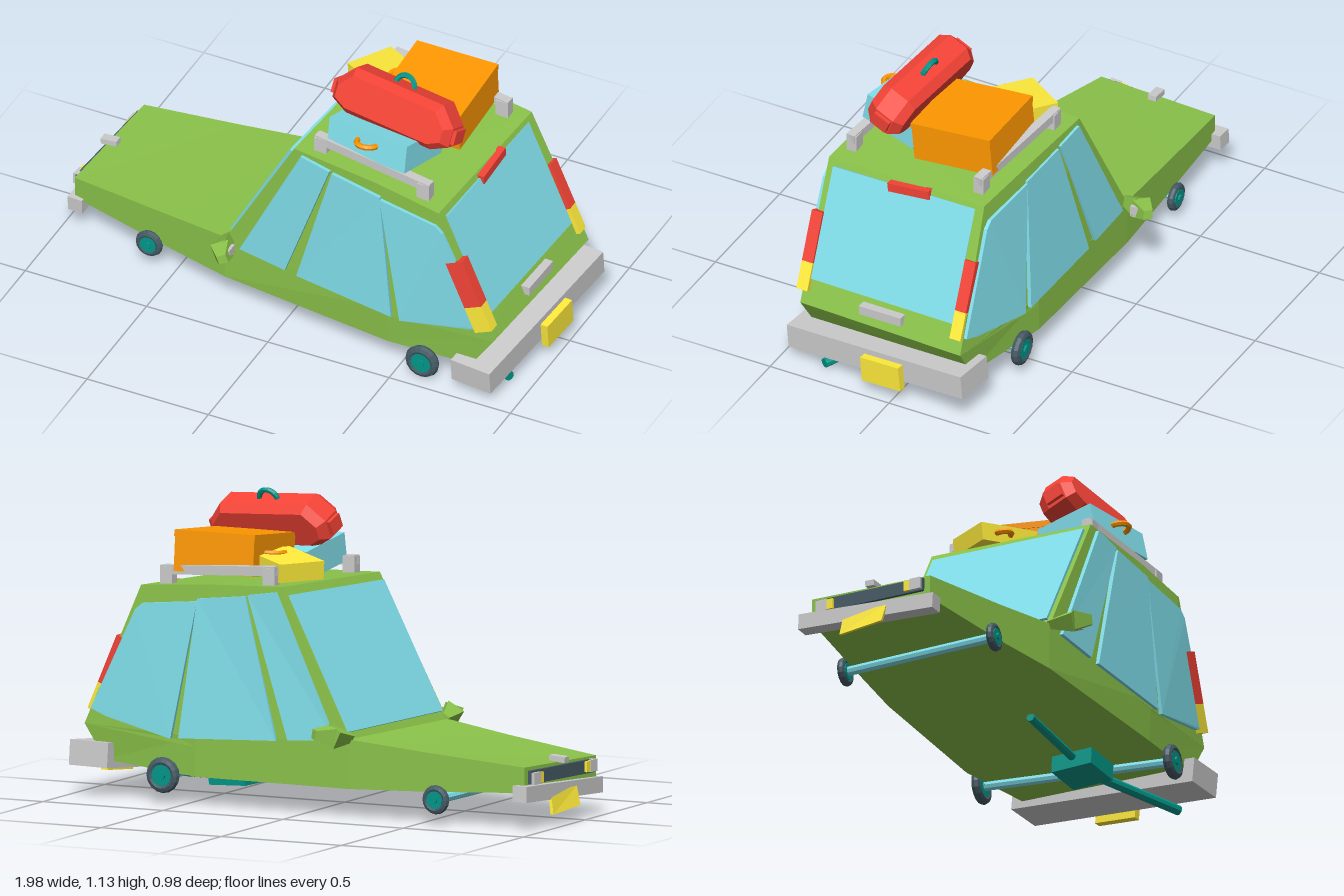
import * as THREE from 'three';

const V = (a) => new THREE.Vector3(...a);
const mat = (color) => new THREE.MeshStandardMaterial({ color, flatShading: true });
const GREEN = mat(0x8bc34a), GLASS = mat(0x80deea), RED = mat(0xf44336), YELLOW = mat(0xffeb3b);
const ORANGE = mat(0xff9800), GREY = mat(0xcccccc), TEAL = mat(0x009688), DARK = mat(0x455a64);

export function createModel() {
  const car = new THREE.Group();
  car.name = 'car';

  const add = (name, geo, material, pos = [0, 0, 0], rot = [0, 0, 0], parent = car) => {
    const m = new THREE.Mesh(geo, material);
    m.name = name;
    m.position.set(...pos);
    m.rotation.set(...rot);
    parent.add(m);
    return m;
  };

  // Closed solid skinned over equal-sized rings; the winding is fixed by signed volume
  function loft(rings) {
    const n = rings[0].length, last = rings.length - 1;
    const tris = [];
    for (let r = 0; r < last; r++) for (let i = 0; i < n; i++) {
      const j = (i + 1) % n, a = rings[r][i], b = rings[r][j], c = rings[r + 1][j], d = rings[r + 1][i];
      tris.push([a, b, c], [a, c, d]);
    }
    for (let i = 1; i < n - 1; i++) {
      tris.push([rings[0][0], rings[0][i + 1], rings[0][i]]);
      tris.push([rings[last][0], rings[last][i], rings[last][i + 1]]);
    }
    let vol = 0;
    for (const [a, b, c] of tris) vol += V(a).dot(V(b).cross(V(c)));
    if (vol < 0) tris.forEach((t) => t.reverse());
    const g = new THREE.BufferGeometry();
    g.setAttribute('position', new THREE.Float32BufferAttribute(tris.flat(2), 3));
    g.computeVertexNormals();
    return g;
  }

  // Polygon thickened both ways along a direction
  const slab = (pts, dir) => loft([-1, 1].map((s) => pts.map((p) => p.map((c, k) => c + s * dir[k]))));

  // Box beam and round rod between two points
  const bar = (name, a, b, w, h, material) => {
    const m = add(name, new THREE.BoxGeometry(w, h, V(a).distanceTo(V(b))), material);
    m.position.copy(V(a).add(V(b)).multiplyScalar(0.5));
    m.lookAt(V(b));
    return m;
  };
  const rod = (name, a, b, r, material, r2 = r, sides = 8) => {
    const m = add(name, new THREE.CylinderGeometry(r2, r, V(a).distanceTo(V(b)), sides), material);
    m.position.copy(V(a).add(V(b)).multiplyScalar(0.5));
    m.quaternion.setFromUnitVectors(new THREE.Vector3(0, 1, 0), V(b).sub(V(a)).normalize());
    return m;
  };

  // Lower body: each section is near top, far top, far bottom, near bottom
  add('lowerBody', loft([
    [[-0.96, 0.22, 0.165], [-0.92, 0.235, -0.335], [-0.92, 0.14, -0.335], [-0.96, 0.13, 0.165]],
    [[-0.55, 0.257, 0.26], [-0.53, 0.265, -0.345], [-0.53, 0.12, -0.345], [-0.55, 0.11, 0.26]],
    [[-0.26, 0.288, 0.33], [-0.2, 0.295, -0.355], [-0.2, 0.11, -0.355], [-0.26, 0.105, 0.33]],
    [[0.45, 0.25, 0.42], [0.45, 0.26, -0.335], [0.45, 0.11, -0.335], [0.45, 0.095, 0.41]],
    [[0.895, 0.25, 0.43], [0.945, 0.27, -0.27], [0.86, 0.14, -0.27], [0.8, 0.11, 0.42]],
  ]), GREEN);

  // Cabin: near belt, near roof, far roof, far belt
  add('cabin', loft([
    [[-0.26, 0.28, 0.33], [0.04, 0.815, 0.36], [0.1, 0.84, -0.315], [-0.2, 0.285, -0.355]],
    [[0.45, 0.22, 0.42], [0.4, 0.8, 0.4], [0.42, 0.825, -0.285], [0.45, 0.22, -0.335]],
    [[0.895, 0.25, 0.43], [0.67, 0.77, 0.43], [0.72, 0.8, -0.25], [0.945, 0.27, -0.27]],
  ]), GREEN);

  // Side windows, outlined in x and y and laid on the cabin sides
  const lerp = THREE.MathUtils.lerp;
  const sideZ = (x, y, near) => {
    const t = (y - 0.25) / 0.55;
    if (near) return lerp(x < 0.45 ? lerp(0.33, 0.42, (x + 0.26) / 0.71) : lerp(0.42, 0.43, (x - 0.45) / 0.44),
      lerp(0.36, 0.43, (x - 0.04) / 0.63), t);
    return lerp(x < 0.45 ? lerp(-0.355, -0.335, (x + 0.2) / 0.65) : lerp(-0.335, -0.27, (x - 0.45) / 0.49),
      lerp(-0.315, -0.25, (x - 0.1) / 0.62), t);
  };
  const windows = {
    frontWindow: [[-0.19, 0.27], [0.01, 0.255], [0.2, 0.78], [0.075, 0.8]],
    middleWindow: [[0.06, 0.25], [0.475, 0.23], [0.42, 0.75], [0.21, 0.775]],
    rearWindow: [[0.51, 0.225], [0.8, 0.285], [0.87, 0.31], [0.69, 0.69], [0.66, 0.715], [0.42, 0.74]],
  };
  for (const near of [true, false]) for (const [name, outline] of Object.entries(windows)) {
    const pts = outline.map(([x0, y0]) => {
      const x = near ? x0 : x0 + 0.045, y = near ? y0 : y0 + 0.02;
      return [x, y, sideZ(x, y, near)];
    });
    add(name, slab(pts, [0, 0, 0.014]), GLASS);
  }

  // Windscreen and tailgate glass
  add('windscreen', slab([[-0.235, 0.315, 0.312], [-0.18, 0.315, -0.335], [0.085, 0.805, -0.3], [0.025, 0.785, 0.342]],
    [-0.012, 0.006, 0]), GLASS);
  const tail = (y, z, off = 0) => [0.895 + 0.071 * (0.43 - z) - 0.433 * (y - 0.25) + off, y + off * 0.43, z];
  add('tailgateGlass', slab([tail(0.345, 0.4), tail(0.365, -0.215), tail(0.775, -0.215), tail(0.745, 0.4)],
    [0.012, 0.005, 0.001]), GLASS);
  bar('brakeLight', tail(0.75, 0.155, 0.01), tail(0.77, -0.02, 0.01), 0.03, 0.035, RED);
  bar('tailgateHandle', tail(0.31, 0.17, 0.01), tail(0.318, -0.01, 0.01), 0.04, 0.036, GREY);

  // Rear corner lights
  for (const [z, lift] of [[0.423, 0], [-0.242, 0.018]]) {
    bar('tailLight', tail(0.4 + lift, z, -0.012), tail(0.58 + lift, z, -0.012), 0.046, 0.075, RED);
    bar('turnLight', tail(0.3 + lift, z, -0.012), tail(0.4 + lift, z, -0.012), 0.046, 0.075, YELLOW);
  }

  // Bumpers and blank plates
  bar('rearBumper', [0.82, 0.09, 0.468], [0.908, 0.163, -0.31], 0.17, 0.095, GREY);
  bar('rearPlate', [0.96, 0.098, 0.13], [0.978, 0.114, -0.04], 0.03, 0.1, YELLOW);
  bar('frontBumper', [-0.95, 0.11, 0.185], [-0.92, 0.14, -0.375], 0.06, 0.06, GREY);
  add('frontPlate', slab([[-0.965, 0.13, -0.01], [-0.95, 0.13, -0.19], [-0.965, 0.045, -0.2], [-0.985, 0.06, -0.02]],
    [0.006, 0, 0]), YELLOW);

  // Nose: grille, lamps and bonnet ornament
  const nose = (z, y) => [-0.96 + 0.08 * (0.165 - z), y, z];
  bar('grille', nose(0.14, 0.187), nose(-0.31, 0.195), 0.025, 0.05, DARK);
  for (const [z, s] of [[0.135, -1], [-0.305, 1]]) {
    bar('headlight', nose(z, 0.19), nose(z + s * 0.045, 0.19), 0.05, 0.045, GREY);
    bar('frontTurnLight', nose(z + s * 0.045, 0.19), nose(z + s * 0.07, 0.19), 0.045, 0.04, YELLOW);
  }
  bar('bonnetOrnament', [-0.965, 0.235, -0.08], [-0.9, 0.24, -0.08], 0.035, 0.022, GREY);

  // Wheels and axles
  const wheels = [
    [[-0.605, 0.1, 0.262], [-0.565, 0.095, -0.362], 0.055],
    [[0.605, 0.07, 0.435], [0.585, 0.108, -0.335], 0.068],
  ];
  for (const [near, far, r] of wheels) {
    rod('axle', near, far, 0.018, GLASS);
    for (const p of [near, far]) {
      const wheel = new THREE.Group();
      wheel.name = 'wheel';
      wheel.position.set(...p);
      car.add(wheel);
      add('tyre', new THREE.TorusGeometry(r * 0.73, r * 0.27, 8, 16), DARK, [0, 0, 0], [0, 0, 0], wheel);
      add('rim', new THREE.CylinderGeometry(r * 0.6, r * 0.6, 0.03, 12), TEAL, [0, 0, 0], [Math.PI / 2, 0, 0], wheel);
      add('hub', new THREE.CylinderGeometry(r * 0.25, r * 0.25, 0.045, 8), TEAL, [0, 0, 0], [Math.PI / 2, 0, 0], wheel);
    }
  }

  // Exhaust
  rod('exhaustPipe', [0.07, 0.09, 0.1], [0.45, 0.075, 0.11], 0.016, TEAL);
  add('silencer', new THREE.BoxGeometry(0.16, 0.065, 0.17), TEAL, [0.5, 0.06, 0.115], [0, -0.1, -0.05]);
  rod('tailPipe', [0.55, 0.05, 0.14], [0.91, 0.022, 0.32], 0.019, TEAL);

  // Door mirrors
  for (const [root, out, tip] of [
    [[-0.25, 0.29, 0.32], [-0.23, 0.295, 0.415], [-0.2, 0.3, 0.475]],
    [[-0.2, 0.3, -0.34], [-0.165, 0.315, -0.43], [-0.12, 0.325, -0.485]],
  ]) {
    rod('mirrorArm', root, out, 0.02, GREEN, 0.05, 4);
    rod('mirrorShell', out, tip, 0.05, GREEN, 0.025, 4);
    add('mirrorGlass', new THREE.BoxGeometry(0.012, 0.045, 0.045), GREY, [out[0] + 0.035, out[1], out[2]]);
  }

  // Roof rails on short posts
  for (const [a, b] of [[[0.11, 0.862, 0.31], [0.61, 0.832, 0.372]], [[0.155, 0.888, -0.25], [0.66, 0.855, -0.19]]]) {
    bar('roofRail', a, b, 0.035, 0.035, GREY);
    for (const t of [0.05, 0.95]) {
      const p = V(a).lerp(V(b), t);
      add('railPost', new THREE.BoxGeometry(0.05, 0.085, 0.042), GREY, [p.x, p.y - 0.03, p.z]);
    }
  }

  // Luggage
  const bag = (name, geo, material, pos, rot) => {
    const g = new THREE.Group();
    g.name = name;
    g.position.set(...pos);
    g.rotation.set(...rot);
    car.add(g);
    add('case', geo, material, [0, 0, 0], [0, 0, 0], g);
    return g;
  };
  const handle = (g, material, pos, rot, r = 0.04) =>
    add('handle', new THREE.TorusGeometry(r, 0.011, 6, 10, Math.PI), material, pos, rot, g);

  const big = bag('orangeCase', new THREE.BoxGeometry(0.33, 0.13, 0.33), ORANGE, [0.435, 0.905, -0.05], [0.09, 0, 0]);
  add('lid', new THREE.BoxGeometry(0.335, 0.025, 0.335), ORANGE, [0, 0.077, 0], [0, 0, 0], big);
  handle(big, ORANGE, [-0.165, 0.02, -0.02], [Math.PI / 2, 0, Math.PI / 2], 0.05);

  const small = bag('yellowCase', new THREE.BoxGeometry(0.25, 0.07, 0.19), YELLOW, [0.2, 0.89, -0.1], [0, -0.55, 0.1]);
  handle(small, ORANGE, [-0.03, 0, 0.095], [Math.PI / 2, 0, 0], 0.03);

  const blue = bag('blueCase', new THREE.BoxGeometry(0.35, 0.11, 0.24), GLASS, [0.35, 0.89, 0.225], [-0.2, -0.16, 0]);
  handle(blue, ORANGE, [0, 0.01, 0.12], [Math.PI / 2, 0, 0]);

  const outline = [[-0.23, -0.04], [-0.18, -0.065], [0.18, -0.065], [0.23, -0.04], [0.23, 0.01], [0.18, 0.065], [-0.18, 0.065], [-0.23, 0.01]];
  const holdall = new THREE.ExtrudeGeometry(new THREE.Shape(outline.map((p) => new THREE.Vector2(...p))),
    { depth: 0.08, bevelEnabled: true, bevelThickness: 0.035, bevelSize: 0.025, bevelSegments: 1 }).center();
  const red = bag('redHoldall', holdall, RED, [0.39, 1.01, 0.19], [-0.4, -0.08, -0.1]);
  for (const s of [-1, 1]) add('endPocket', new THREE.BoxGeometry(0.03, 0.055, 0.07), RED, [s * 0.255, -0.015, 0], [0, 0, 0], red);
  handle(red, TEAL, [0, 0.085, 0], [0, 0, 0]);

  return car;
}
